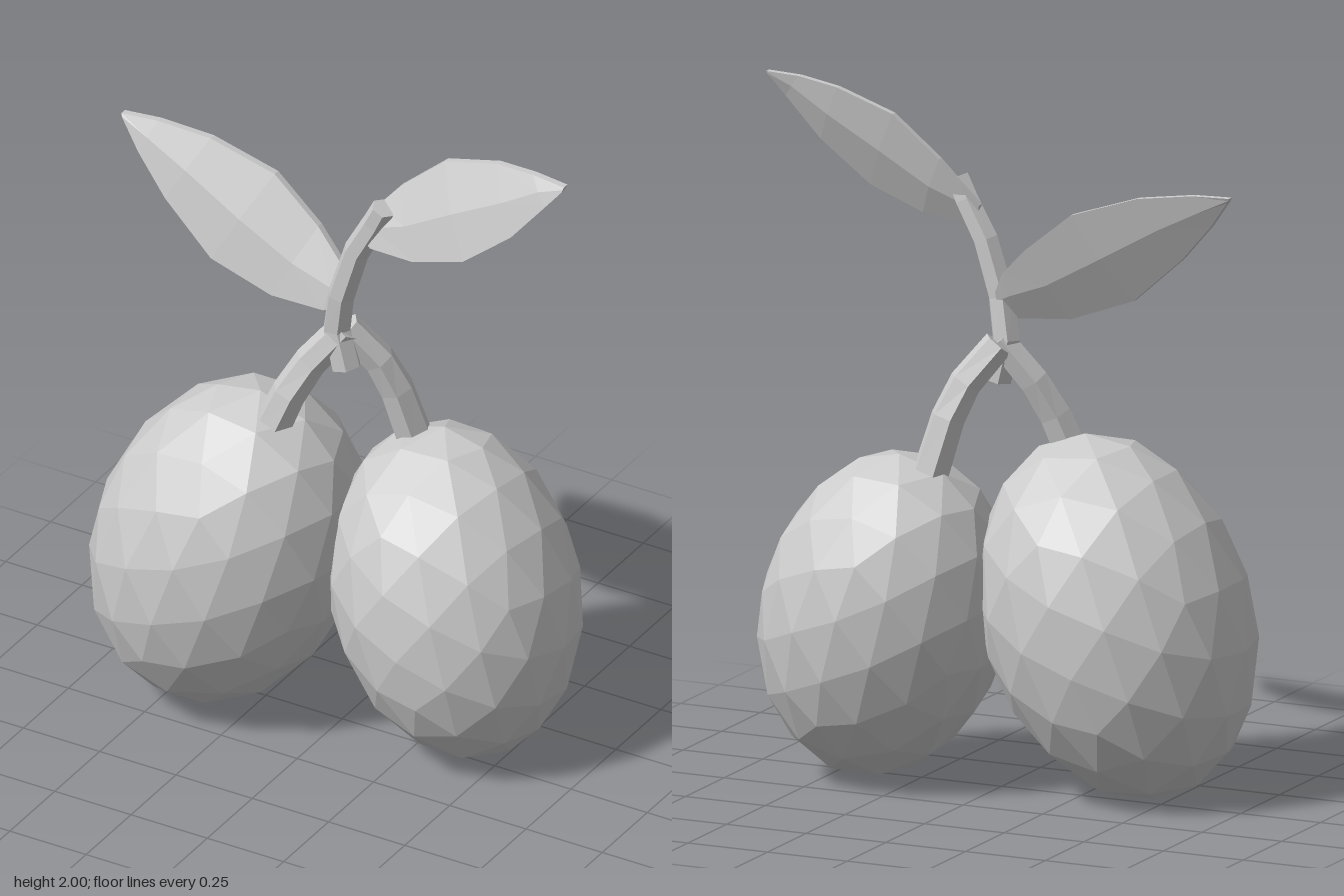
import * as THREE from 'three';

const material = new THREE.MeshStandardMaterial({ color: 0xcccccc, flatShading: true });
const V = (x, y, z) => new THREE.Vector3(x, y, z);

// Skin a list of equal-sized rings and close both ends
function loft(rings) {
  const n = rings[0].length, index = [];
  const last = (rings.length - 1) * n;
  for (let r = 0; r < rings.length - 1; r++) {
    for (let i = 0; i < n; i++) {
      const j = (i + 1) % n, a = r * n + i, b = r * n + j;
      index.push(a, b, b + n, a, b + n, a + n);
    }
  }
  for (let i = 1; i < n - 1; i++) {
    index.push(0, i + 1, i, last, last + i, last + i + 1);
  }
  const geometry = new THREE.BufferGeometry().setFromPoints(rings.flat());
  geometry.setIndex(index);
  geometry.computeVertexNormals();
  return geometry;
}

// Six-sided twig following a few points, tapering from r0 to r1
function twig(points, r0, r1) {
  const rings = points.map((p, k) => {
    const before = points[Math.max(k - 1, 0)], after = points[Math.min(k + 1, points.length - 1)];
    const t = after.clone().sub(before).normalize();
    const u = V(0, 0, 1).cross(t).normalize(), v = t.clone().cross(u);
    const r = THREE.MathUtils.lerp(r0, r1, k / (points.length - 1));
    return Array.from({ length: 6 }, (_, i) => {
      const a = (i / 6) * Math.PI * 2;
      return p.clone().addScaledVector(u, r * Math.cos(a)).addScaledVector(v, r * Math.sin(a));
    });
  });
  return loft(rings);
}

// Leaf from [upper x, upper y, lower x, lower y] stations running towards +x;
// the blade leans back at the top and swells along its midrib
function leaf(stations, z) {
  const edge = 0.01;
  return loft(stations.map(([ux, uy, lx, ly]) => {
    const width = Math.hypot(ux - lx, uy - ly);
    const lean = width * 0.2, swell = edge + width * 0.07;
    const mx = (ux + lx) / 2, my = (uy + ly) / 2;
    return [
      V(ux, uy, z - lean - edge), V(ux, uy, z - lean + edge), V(mx, my, z + swell),
      V(lx, ly, z + lean + edge), V(lx, ly, z + lean - edge), V(mx, my, z - swell),
    ];
  }));
}

// Faceted, tilted egg-like fruit
function fruit(radius, halfLength, tiltX, tiltZ) {
  const geometry = new THREE.IcosahedronGeometry(1, 2);
  geometry.scale(radius, halfLength, radius);
  geometry.rotateX(tiltX);
  geometry.rotateZ(tiltZ);
  return geometry;
}

export function createModel() {
  const group = new THREE.Group();
  const add = (name, geometry, x = 0, y = 0, z = 0) => {
    const mesh = new THREE.Mesh(geometry, material);
    mesh.name = name;
    mesh.position.set(x, y, z);
    group.add(mesh);
  };

  // Fruits
  add('rightFruit', fruit(0.385, 0.535, 0, -0.34), -0.34, 0.52, 0.05);
  add('leftFruit', fruit(0.358, 0.495, -0.13, 0.3), 0.325, 0.49, -0.08);

  // Main stem and the two stalks
  add('mainStem', twig([V(0.02, 1.18, 0.01), V(-0.01, 1.3, 0.01), V(0.01, 1.42, 0.02),
    V(0.06, 1.58, 0.02), V(0.12, 1.69, 0.02), V(0.15, 1.75, 0.025)], 0.045, 0.035));
  add('rightStalk', twig([V(0.01, 1.3, 0), V(-0.08, 1.18, 0.04), V(-0.13, 1.08, 0.075),
    V(-0.17, 0.97, 0.1)], 0.045, 0.055));
  add('leftStalk', twig([V(0, 1.29, -0.02), V(0.08, 1.18, -0.07), V(0.12, 1.08, -0.1),
    V(0.16, 0.92, -0.13)], 0.045, 0.055));

  // Leaves
  add('rightLeaf', leaf([
    [-0.72, 1.785, -0.71, 1.77], [-0.61, 1.785, -0.65, 1.69], [-0.45, 1.765, -0.55, 1.58],
    [-0.25, 1.7, -0.39, 1.44], [-0.1, 1.58, -0.2, 1.37], [-0.02, 1.5, -0.04, 1.36],
    [0.01, 1.44, 0.01, 1.38],
  ], 0.0));
  add('leftLeaf', leaf([
    [0.07, 1.68, 0.08, 1.64], [0.12, 1.74, 0.12, 1.62], [0.18, 1.81, 0.27, 1.63],
    [0.32, 1.93, 0.44, 1.69], [0.5, 1.985, 0.59, 1.81], [0.63, 2.0, 0.69, 1.93],
    [0.74, 2.0, 0.735, 1.985],
  ], 0.015));

  return group;
}
